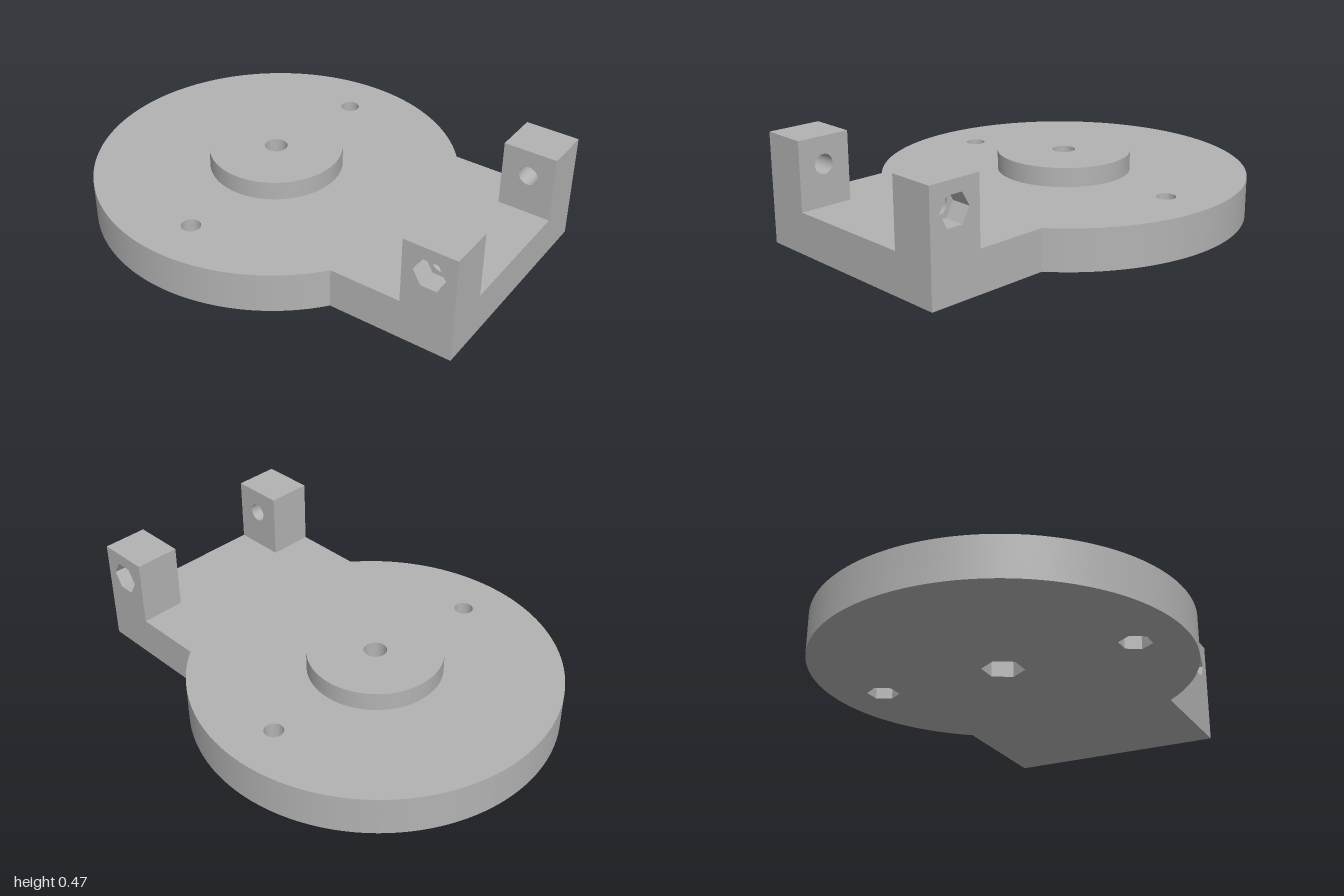
import * as THREE from 'three';
import { toCreasedNormals } from 'three/addons/utils/BufferGeometryUtils.js';

const BASE_H = 0.18, HUB_TOP = 0.265, DISC_R = 0.81, DISC_Z = -0.19, NECK = 0.5;

// Closed path: a circle, or a hexagon with points along the given start angle
function circle(x, y, r) {
  const p = new THREE.Path();
  p.absarc(x, y, r, 0, Math.PI * 2, true);
  return p;
}
function hexagon(x, y, r, start) {
  const pts = [];
  for (let i = 0; i < 6; i++) {
    const a = start + i * Math.PI / 3;
    pts.push(new THREE.Vector2(x + r * Math.cos(a), y + r * Math.sin(a)));
  }
  return new THREE.Path(pts);
}

// Extrude an outline with holes, keeping curved walls smooth
function slab(outline, holes, depth) {
  outline.holes = holes;
  const g = new THREE.ExtrudeGeometry(outline, { depth, bevelEnabled: false, curveSegments: 72 });
  return toCreasedNormals(g, 0.5);
}

// Disc with a straight-sided neck running to the front (shape y = -z)
function baseOutline() {
  const s = new THREE.Shape();
  const a = Math.acos(NECK / DISC_R);
  s.moveTo(-NECK, -1);
  s.lineTo(NECK, -1);
  s.absarc(0, -DISC_Z, DISC_R, -a, Math.PI + a, false);
  s.closePath();
  return s;
}

export function createModel() {
  const model = new THREE.Group();
  const grey = new THREE.MeshStandardMaterial({ color: 0xb3b3b3 });
  grey.name = 'light grey';
  const add = (name, geometry) => {
    const m = new THREE.Mesh(geometry, grey);
    m.name = name;
    model.add(m);
  };
  const flat = (outline, holes, y0, y1) =>
    slab(outline, holes, y1 - y0).rotateX(-Math.PI / 2).translate(0, y0, 0);

  // Base: hexagonal nut pockets below, round bolt holes above
  const cy = -DISC_Z, split = 0.09;
  const bolts = [[-0.59, 0.042, 0.07], [0, 0.05, 0.092], [0.59, 0.042, 0.07]];
  add('baseLower', flat(baseOutline(), bolts.map(([x, , R]) => hexagon(x, cy, R, Math.PI / 2)), 0, split));
  add('baseUpper', flat(baseOutline(), bolts.map(([x, r]) => circle(x, cy, r)), split, BASE_H));

  // Raised hub around the centre hole
  const hub = new THREE.Shape();
  hub.absarc(0, cy, 0.295, 0, Math.PI * 2, false);
  add('hub', flat(hub, [circle(0, cy, 0.05)], BASE_H, HUB_TOP));

  // Hinge lugs: round bore on the inside, nut pocket on the outside (shape x = -z)
  const lugLayer = (hole, x0, x1) => {
    const s = new THREE.Shape();
    s.moveTo(-1, BASE_H);
    s.lineTo(-0.765, BASE_H);
    s.lineTo(-0.765, 0.475);
    s.lineTo(-1, 0.475);
    s.closePath();
    return slab(s, [hole], x1 - x0).rotateY(Math.PI / 2).translate(x0, 0, 0);
  };
  for (const side of [1, -1]) {
    const span = (a, b) => (side > 0 ? [a, b] : [-b, -a]);
    const label = side > 0 ? 'left' : 'right';
    add(label + 'LugInner', lugLayer(circle(-0.885, 0.358, 0.042), ...span(0.297, 0.41)));
    add(label + 'LugOuter', lugLayer(hexagon(-0.885, 0.358, 0.071, 0), ...span(0.41, NECK)));
  }
  return model;
}
